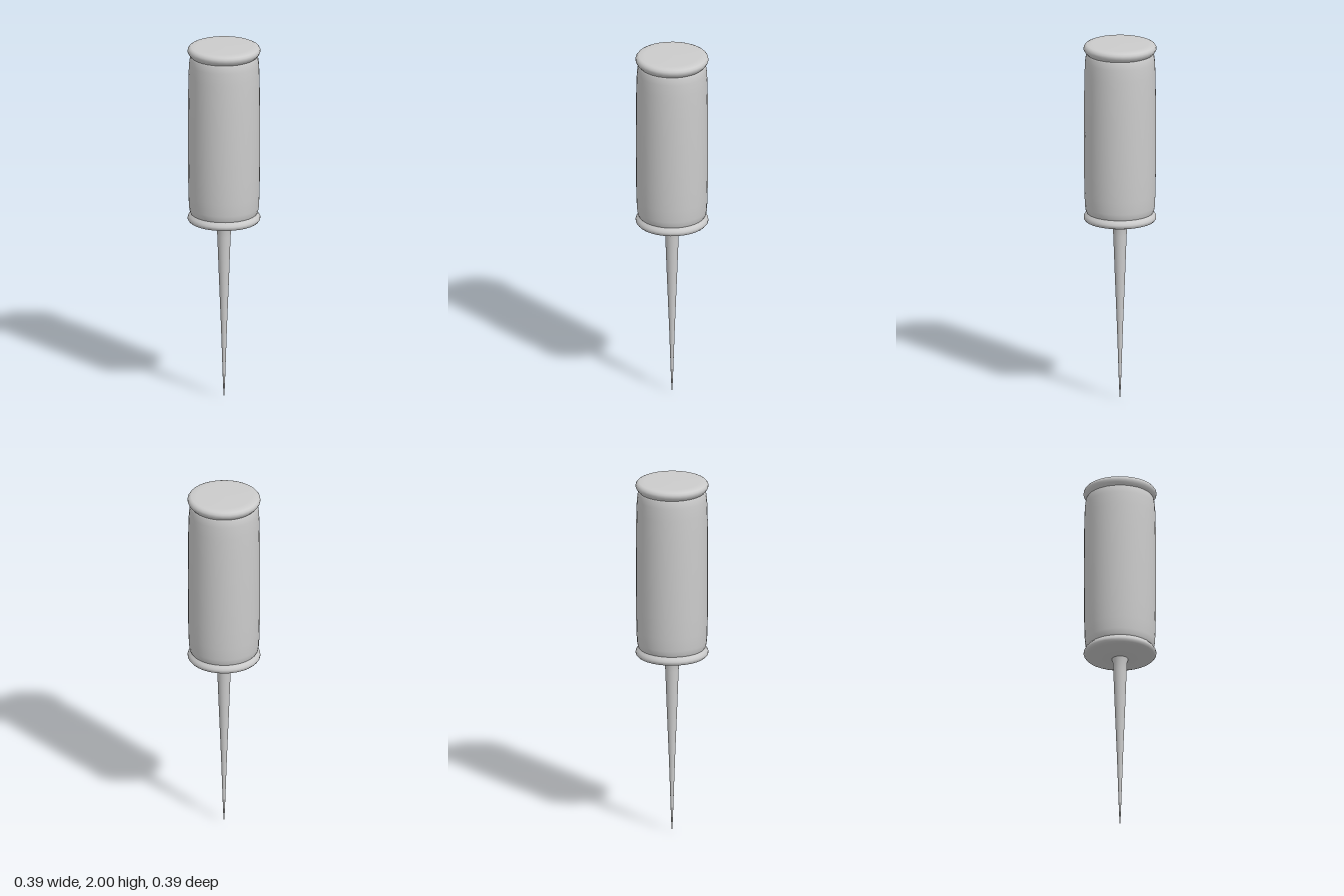
import * as THREE from 'three';

const SEGMENTS = 32;

// Smooth turned part from [radius, height] pairs, listed bottom to top
function turned(name, profile, material) {
  const points = profile.map(([r, y]) => new THREE.Vector2(r, y));
  const mesh = new THREE.Mesh(new THREE.LatheGeometry(points, SEGMENTS), material);
  mesh.name = name;
  return mesh;
}

export function createModel() {
  const group = new THREE.Group();
  group.name = 'awl';
  const material = new THREE.MeshStandardMaterial({ color: 0xcccccc });

  // Long tapering spike, flaring slightly where it meets the handle
  group.add(turned('spike', [
    [0, 0], [0.003, 0.03], [0.006, 0.1], [0.016, 0.4], [0.028, 0.7],
    [0.036, 0.92], [0.039, 0.97], [0.046, 0.995], [0.046, 1.005],
  ], material));

  // Bottom collar: shallow dished underside and rounded rim
  group.add(turned('bottomCollar', [
    [0, 0.988], [0.06, 0.99], [0.12, 0.996], [0.17, 1.004], [0.188, 1.01],
    [0.196, 1.02], [0.196, 1.031], [0.19, 1.042], [0.182, 1.05], [0.178, 1.056],
  ], material));

  // Barrel grip with softly drawn-in ends
  group.add(turned('grip', [
    [0.178, 1.052], [0.184, 1.062], [0.189, 1.09], [0.192, 1.16], [0.194, 1.28],
    [0.195, 1.5], [0.194, 1.7], [0.192, 1.83], [0.189, 1.9], [0.184, 1.935], [0.178, 1.945],
  ], material));

  // Top cap: rounded rim under an almost flat crown
  group.add(turned('topCap', [
    [0.178, 1.942], [0.184, 1.949], [0.192, 1.958], [0.197, 1.97],
    [0.196, 1.981], [0.189, 1.991], [0.178, 1.996], [0.15, 1.999], [0, 2],
  ], material));

  return group;
}
